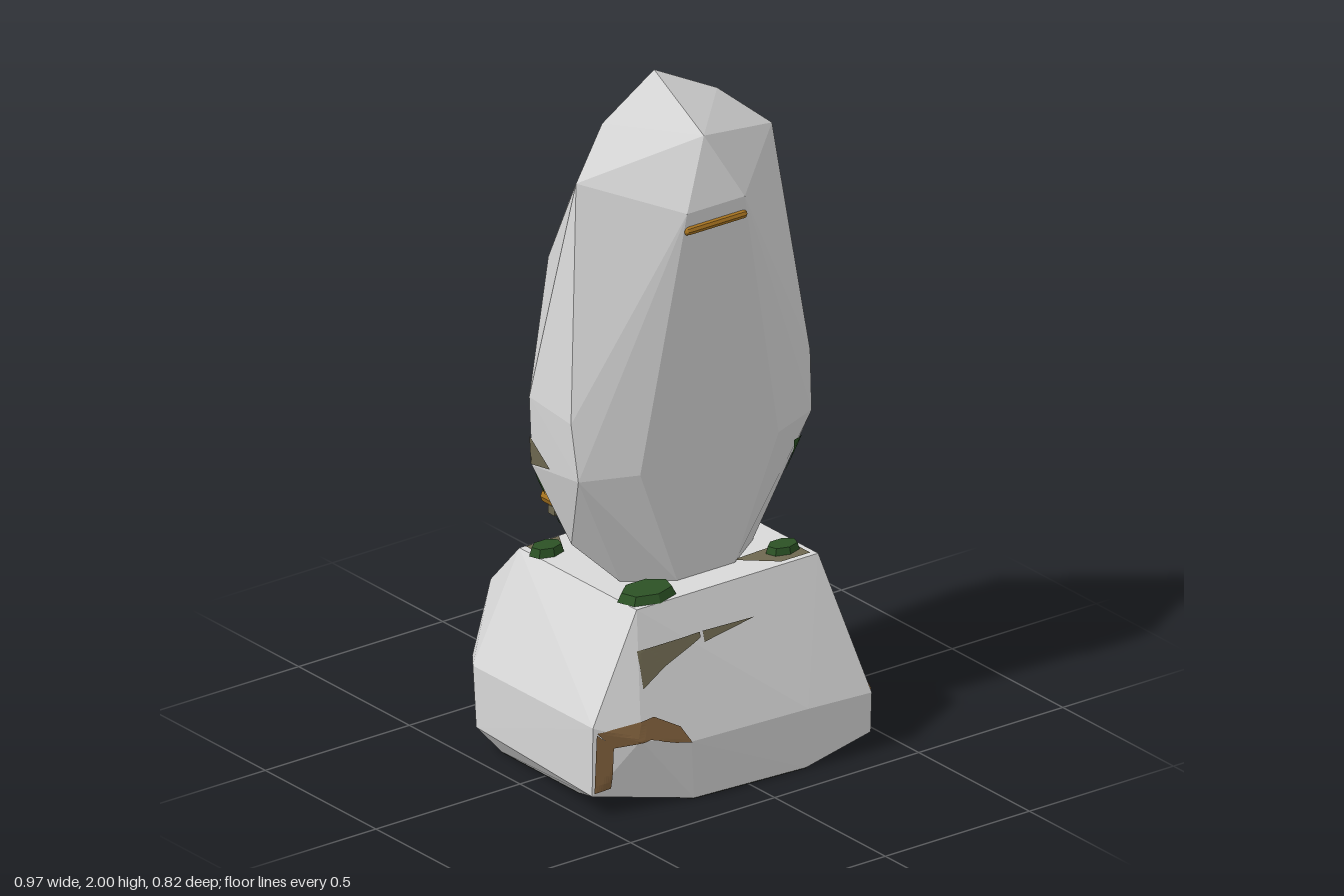
import * as THREE from 'three';
import { ConvexGeometry } from 'three/addons/geometries/ConvexGeometry.js';

const mat = (name, color, side = THREE.FrontSide) =>
  new THREE.MeshStandardMaterial({ name, color, side, flatShading: true });
const V = (p) => new THREE.Vector3(...p);
const mirror = (pts) => pts.flatMap(([x, y, z]) => (x ? [[x, y, z], [-x, y, z]] : [[x, y, z]]));

export function createModel() {
  const group = new THREE.Group();
  const shell = mat('pale grey shell', 0xd8d8d8);
  const green = mat('dark green', 0x2c5225, THREE.DoubleSide);
  const taupe = mat('olive taupe', 0x6e6850, THREE.DoubleSide);
  const brown = mat('brown', 0x80603c, THREE.DoubleSide);
  const gold = mat('gold', 0xa87420);
  const dark = mat('dark grey', 0x3c3d38);
  const black = mat('underside black', 0x20241f, THREE.DoubleSide);

  const add = (name, geometry, material, pos = [0, 0, 0]) => {
    const mesh = new THREE.Mesh(geometry, material);
    mesh.name = name;
    mesh.position.set(...pos);
    group.add(mesh);
    return mesh;
  };

  // Faceted upper body, symmetric left to right
  const body = add('body', new ConvexGeometry(mirror([
    [0, 2, -0.045], [0.2, 1.9, -0.02], [0.34, 1.78, 0.045],
    [0, 1.88, 0.18], [0.1, 1.69, 0.235],
    [0.445, 1.14, -0.03], [0.435, 0.93, -0.03], [0.415, 1.1, 0.12], [0.405, 0.93, 0.14],
    [0.24, 0.93, 0.205], [0.1, 0.57, 0.19], [0.23, 0.57, 0.1], [0.36, 0.7, 0.05],
    [0.1, 1.54, -0.3], [0, 1.48, -0.313], [0, 1.67, -0.24], [0.21, 1.42, -0.25],
    [0.385, 1.1, -0.1], [0.12, 0.7, -0.25], [0.23, 0.7, -0.215], [0.15, 0.57, -0.19],
  ]).map(V)), shell);

  // Faceted, slightly lopsided base
  const bottom = [
    [-0.18, 0, 0.37], [0.19, 0, 0.395], [0.41, 0, 0.15], [0.41, 0, -0.2],
    [0.22, 0, -0.38], [-0.22, 0, -0.38], [-0.41, 0, -0.2], [-0.41, 0, 0.15],
  ];
  const base = add('base', new ConvexGeometry([
    ...bottom,
    [-0.31, 0.57, 0.28], [0.32, 0.57, 0.28], [0.32, 0.57, -0.25], [-0.31, 0.57, -0.25],
    [-0.31, 0.43, -0.38], [0.32, 0.43, -0.38], [0.4, 0.41, -0.405], [-0.23, 0.4, -0.4],
    [0.41, 0.17, 0.405], [0.19, 0.18, 0.405], [-0.2, 0.18, 0.385], [-0.36, 0.22, 0.365],
    [-0.485, 0.27, 0.31], [-0.48, 0.06, 0.3], [0.41, 0.05, 0.4],
    [0.48, 0.17, 0.26], [0.48, 0.09, 0.25], [0.48, 0.2, -0.265], [0.47, 0.09, -0.25],
    [0.39, 0.1, -0.405], [-0.23, 0.1, -0.4], [-0.42, 0.25, -0.32],
    [-0.46, 0.25, -0.265], [-0.46, 0.07, -0.25],
  ].map(V)), shell);

  // Underside plate
  const outline = new THREE.Shape(bottom.map(([x, , z]) => new THREE.Vector2(x, z)));
  add('undersidePlate', new THREE.ShapeGeometry(outline).rotateX(Math.PI / 2), black, [0, -0.002, 0]);

  // Thin inlay: a polygon projected on a hull along one axis, following its facets
  const ray = new THREE.Raycaster();
  const N = 8;
  function inlay(name, hull, axis, sign, pts, material) {
    const dir = new THREE.Vector3().setComponent(axis, -sign);
    const [a, b] = [[2, 1], [0, 2], [0, 1]][axis];
    const project = (u, v) => {
      const origin = new THREE.Vector3().setComponent(axis, 3 * sign);
      origin.setComponent(a, u).setComponent(b, v);
      ray.set(origin, dir);
      const hit = ray.intersectObject(hull)[0];
      return hit && hit.point.addScaledVector(hit.face.normal, 0.004);
    };
    const out = [];
    for (let k = 1; k < pts.length - 1; k++) {
      const [p, q, r] = [pts[0], pts[k], pts[k + 1]];
      const at = (i, j) => project(
        p[0] + ((q[0] - p[0]) * i + (r[0] - p[0]) * j) / N,
        p[1] + ((q[1] - p[1]) * i + (r[1] - p[1]) * j) / N);
      const tri = (...c) => { if (c.every(Boolean)) out.push(...c); };
      for (let i = 0; i < N; i++) for (let j = 0; j < N - i; j++) {
        tri(at(i, j), at(i + 1, j), at(i, j + 1));
        if (i + j < N - 1) tri(at(i + 1, j), at(i + 1, j + 1), at(i, j + 1));
      }
    }
    const geometry = new THREE.BufferGeometry().setFromPoints(out);
    geometry.computeVertexNormals();
    add(name, geometry, material);
  }

  // Base inlays: front, back, left side and top
  inlay('frontWedge', base, 2, 1, [[-0.33, 0.46], [-0.33, 0.355], [-0.25, 0.4], [-0.12, 0.45], [-0.12, 0.465]], taupe);
  inlay('frontSliver', base, 2, 1, [[-0.11, 0.465], [-0.11, 0.435], [0.07, 0.46]], taupe);
  inlay('frontBracketUpright', base, 2, 1, [[-0.475, 0.25], [-0.475, 0.07], [-0.43, 0.08], [-0.43, 0.21]], brown);
  inlay('frontBracketArm', base, 2, 1, [[-0.475, 0.255], [-0.43, 0.205], [-0.33, 0.215], [-0.31, 0.275]], brown);
  inlay('frontBracketTip', base, 2, 1, [[-0.31, 0.275], [-0.33, 0.215], [-0.25, 0.19], [-0.2, 0.18], [-0.23, 0.23]], brown);
  inlay('backPanel', base, 2, -1, [[0.22, 0.385], [-0.27, 0.385], [-0.27, 0.1]], taupe);
  inlay('backLowerPanel', base, 2, -1, [[0.38, 0.1], [0.38, 0.02], [0.1, 0.03]], taupe);
  inlay('sideFrontWedge', base, 0, 1, [[0.385, 0.175], [0.27, 0.165], [0.31, 0.09]], brown);
  inlay('sideBackStrip', base, 0, 1, [[-0.265, 0.1], [-0.3, 0.09], [-0.32, 0.24], [-0.29, 0.265], [-0.26, 0.25]], brown);
  inlay('topFrontPanel', base, 1, 1, [[0.1, 0.18], [0.2, 0.27], [0.3, 0.27], [0.3, 0.17]], taupe);
  inlay('topBackPanel', base, 1, 1, [[-0.295, -0.24], [-0.295, -0.18], [-0.22, -0.17], [-0.18, -0.24]], taupe);
  inlay('topSideSliver', base, 1, 1, [[-0.36, -0.21], [-0.355, -0.21], [-0.355, -0.16], [-0.365, -0.16]], dark);
  const lip = add('backLip', new THREE.BoxGeometry(0.44, 0.018, 0.012), dark, [-0.06, 0.395, -0.4]);
  lip.rotation.y = 0.01;
  add('backLipStud', new THREE.SphereGeometry(0.014, 6, 4), gold, [0, 0.4, -0.406]);

  // Body inlays
  inlay('leftHipWedge', body, 0, 1, [[-0.03, 1.14], [-0.11, 1.155], [-0.03, 1.03]], taupe);
  inlay('leftHipTriangle', body, 0, 1, [[-0.14, 1.04], [-0.145, 0.94], [-0.04, 0.935]], taupe);
  inlay('rightHipTriangle', body, 0, -1, [[-0.03, 1.02], [0.04, 0.94], [-0.04, 0.935]], taupe);
  inlay('leftHipStrip', body, 2, 1, [[0.325, 0.87], [0.345, 0.85], [0.37, 0.865], [0.362, 0.75], [0.34, 0.75]], green);
  inlay('rightBackStrip', body, 2, -1, [[-0.385, 0.93], [-0.37, 0.78], [-0.27, 0.68], [-0.29, 0.8]], green);

  // Green pads around the neck
  for (const [x, z, r] of [[-0.23, 0.22, 0.085], [0.25, 0.21, 0.05], [0.26, -0.2, 0.055], [-0.27, -0.18, 0.05]]) {
    add('neckPad', new THREE.CylinderGeometry(r * 0.85, r, 0.025, 7).scale(1.1, 1, 0.75), green, [x, 0.582, z]);
  }

  // Front gold bar and back stud
  add('frontBar', new THREE.CapsuleGeometry(0.013, 0.19, 3, 8).rotateZ(Math.PI / 2), gold, [0, 1.637, 0.232]);
  add('backStud', new THREE.SphereGeometry(0.014, 6, 4), gold, [0, 1.67, -0.238]);

  // Mirrored back fittings: knobs, vent slats and side studs
  for (const s of [-1, 1]) {
    add('backKnob', new THREE.CylinderGeometry(0.022, 0.022, 0.045, 8).rotateX(Math.PI / 2), gold, [s * 0.215, 0.705, -0.228]);
    add('knobBracket', new THREE.BoxGeometry(0.06, 0.025, 0.03), taupe, [s * 0.2, 0.675, -0.21]);
    for (let i = 0; i < 3; i++) {
      add('ventSlat', new THREE.BoxGeometry(0.012, 0.045, 0.02), dark, [s * (0.09 + i * 0.022), 0.66, -0.228]);
    }
    add('neckTrim', new THREE.BoxGeometry(0.08, 0.025, 0.02), taupe, [s * 0.1, 0.6, -0.205]);
  }
  add('sideStud', new THREE.SphereGeometry(0.018, 6, 4), dark, [0.405, 1.13, -0.085]);
  add('backSideStud', new THREE.SphereGeometry(0.018, 6, 4), dark, [-0.325, 0.95, -0.145]);

  return group;
}
